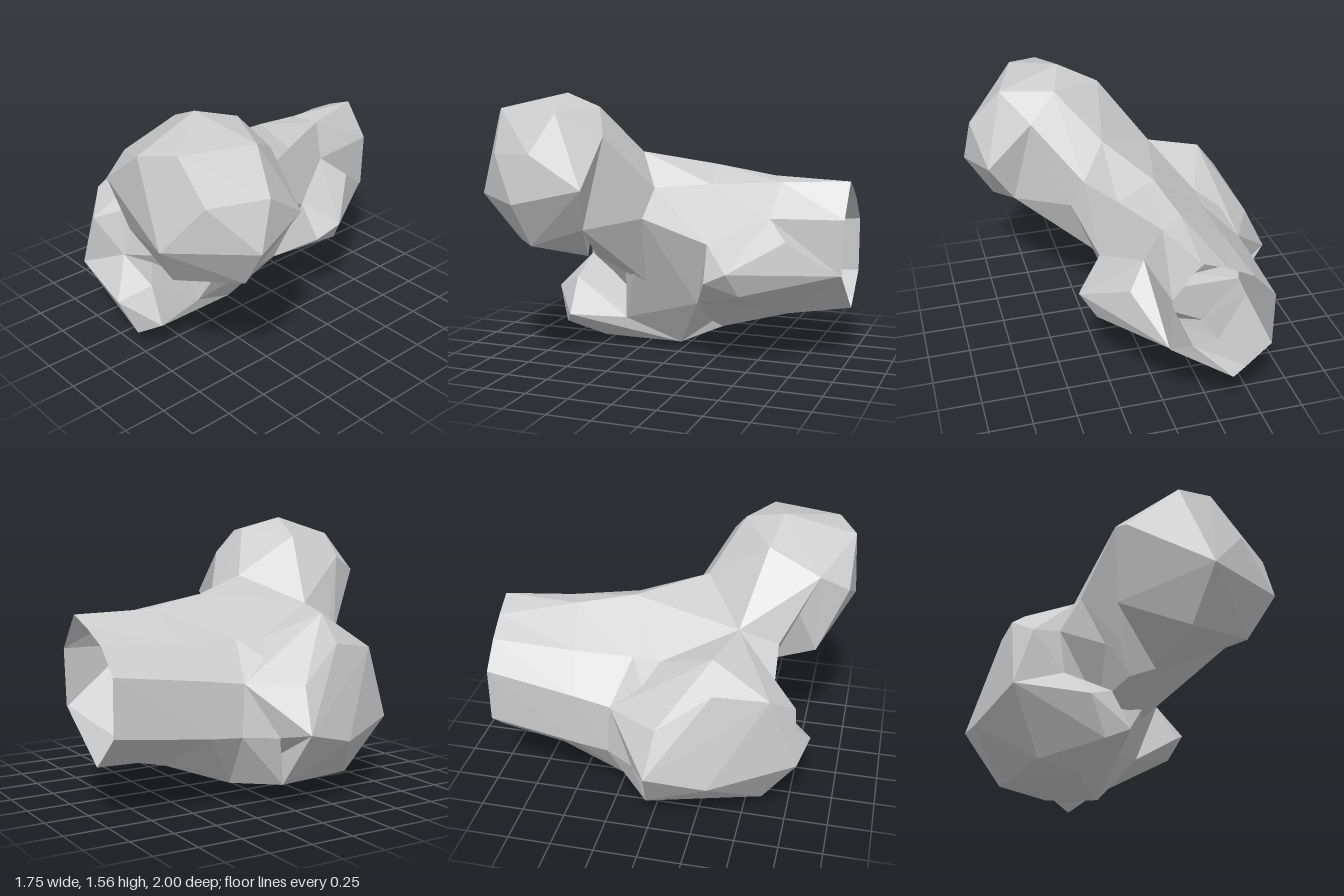
import * as THREE from 'three';
import { ConvexGeometry } from 'three/addons/geometries/ConvexGeometry.js';

const material = new THREE.MeshStandardMaterial({ color: 0xcccccc, flatShading: true, side: THREE.DoubleSide });

function addPart(group, name, geometry) {
  const mesh = new THREE.Mesh(geometry, material);
  mesh.name = name;
  group.add(mesh);
}

// Faceted lump spanned by its corner points
const lump = (points) => new ConvexGeometry(points.map((p) => new THREE.Vector3(...p)));

// Open tube through cross-sections with equal point counts
function loft(rings) {
  const n = rings[0].length;
  const index = [];
  for (let r = 0; r < rings.length - 1; r++) {
    for (let i = 0; i < n; i++) {
      const a = r * n + i, b = r * n + (i + 1) % n;
      index.push(a, b, a + n, b, b + n, a + n);
    }
  }
  const geometry = new THREE.BufferGeometry();
  geometry.setAttribute('position', new THREE.Float32BufferAttribute(rings.flat(2), 3));
  geometry.setIndex(index);
  geometry.computeVertexNormals();
  return geometry;
}

export function createModel() {
  const bone = new THREE.Group();
  bone.name = 'thighBoneEnd';

  // Hollow shaft, open at the back; each ring runs top, right, bottom, left
  addPart(bone, 'shaft', loft([
    [[-0.26, 1.01, -0.99], [-0.11, 1.07, -1], [0.04, 0.87, -1], [0.04, 0.55, -0.99],
      [-0.33, 0.28, -0.98], [-0.4, 0.34, -0.98], [-0.54, 0.47, -0.98], [-0.54, 0.79, -0.98], [-0.41, 0.93, -0.98]],
    [[-0.15, 1.08, -0.55], [-0.02, 1.06, -0.62], [0.07, 0.86, -0.58], [0.12, 0.45, -0.47],
      [-0.22, 0.24, -0.62], [-0.38, 0.25, -0.6], [-0.6, 0.42, -0.44], [-0.59, 0.73, -0.45], [-0.4, 0.91, -0.5]],
    [[-0.09, 1.14, -0.22], [0.13, 1.05, -0.25], [0.24, 0.72, -0.26], [0.11, 0.34, -0.16],
      [-0.26, 0.11, -0.2], [-0.42, 0.11, -0.22], [-0.62, 0.41, -0.26], [-0.61, 0.7, -0.24], [-0.39, 0.91, -0.16]],
    [[0.11, 1.22, 0.17], [0.25, 1.03, 0.05], [0.32, 0.86, 0.1], [0.06, 0.38, 0.12],
      [-0.11, 0.03, 0.02], [-0.67, 0.13, -0.03], [-0.73, 0.41, -0.09], [-0.76, 0.69, 0.05], [-0.41, 0.91, 0]],
  ]));

  // Solid core where shaft, neck and knob meet
  addPart(bone, 'core', lump([
    [-0.24, 1.07, 0.41], [-0.41, 0.91, 0], [-0.09, 1.14, -0.22], [0.11, 1.22, 0.17],
    [0.25, 1.03, 0.05], [0.32, 0.86, 0.1], [-0.1, 0.45, 0.38],
    [0.06, 0.38, 0.12], [0.11, 0.34, -0.16], [-0.01, 0.18, 0.34], [-0.11, 0.03, 0.02],
  ]));
  addPart(bone, 'coreUnderside', lump([
    [-0.42, 0.11, -0.22], [-0.67, 0.13, -0.03], [-0.11, 0.03, 0.02], [-0.73, 0.41, -0.09],
    [-0.62, 0.41, -0.26], [0.11, 0.34, -0.16], [0.06, 0.38, 0.12],
  ]));

  // Rounded ball of the joint
  addPart(bone, 'head', lump([
    [0.28, 1.56, 0.57], [0.52, 1.48, 0.87], [0.34, 1.45, 0.98], [0.06, 1.23, 0.98],
    [0.52, 0.99, 1], [0.87, 0.99, 0.63], [0.83, 1.26, 0.54], [0.65, 1.47, 0.47],
    [0.77, 1.07, 0.27], [0.51, 1.34, 0.25], [0.68, 1.24, 0.83], [0.05, 1.45, 0.52],
    [0.35, 1.49, 0.34], [0, 1.32, 0.82], [0.4, 0.71, 0.83], [0.71, 0.74, 0.6],
    [0.01, 0.85, 0.82], [0.23, 0.6, 0.48], [0.62, 0.83, 0.33],
  ]));

  // Neck between head and shaft
  addPart(bone, 'neck', lump([
    [0.11, 1.22, 0.17], [0.25, 1.03, 0.05], [0.32, 0.86, 0.1], [0.22, 0.59, 0.29],
    [0.06, 0.4, 0.13], [-0.1, 0.46, 0.38], [-0.24, 1.07, 0.41], [0, 1.32, 0.82],
    [0.05, 1.45, 0.52], [0.35, 1.49, 0.34], [0.51, 1.34, 0.25], [0.62, 0.83, 0.33],
    [0.07, 0.57, 0.5], [0.02, 0.76, 0.58], [-0.19, 0.98, 0.63],
  ]));

  // Hollow between neck and outer knob
  addPart(bone, 'hollow', lump([
    [-0.24, 1.07, 0.41], [-0.3, 0.78, 0.63], [-0.19, 0.98, 0.63], [-0.1, 0.45, 0.38],
    [0.03, 0.73, 0.52],
  ]));

  // Large outer knob: upper crest and lower hook
  addPart(bone, 'outerKnobCrest', lump([
    [-0.88, 0.44, 0.01], [-0.78, 0.35, 0.34], [-0.52, 0.4, 0.8], [-0.43, 0.72, 0.77],
    [-0.56, 0.83, 0.64], [-0.65, 0.88, 0.34], [-0.53, 1.04, 0.32], [-0.41, 0.91, 0],
    [-0.76, 0.69, 0.05], [-0.73, 0.41, -0.09], [-0.24, 1.07, 0.41], [-0.3, 0.78, 0.63],
    [-0.27, 0.51, 0.68], [-0.1, 0.45, 0.38], [-0.11, 0.03, 0.02], [-0.61, 0.7, -0.24],
  ]));
  addPart(bone, 'outerKnobHook', lump([
    [-0.88, 0.44, 0.01], [-0.78, 0.35, 0.34], [-0.67, 0.13, -0.03], [-0.4, 0.06, 0.6],
    [-0.2, 0, 0.56], [-0.11, 0.03, 0.02], [-0.01, 0.18, 0.34], [-0.52, 0.4, 0.8],
    [-0.12, 0.32, 0.84], [-0.27, 0.51, 0.68], [0.08, 0.19, 0.68], [-0.02, 0.41, 0.67],
    [-0.05, 0.11, 0.76],
  ]));

  // Small knob on the inner side of the shaft
  addPart(bone, 'innerKnob', lump([
    [0.4, 0.59, -0.42], [0.18, 0.75, -0.7], [0.07, 0.86, -0.58], [0.31, 0.45, -0.47],
    [0.36, 0.52, -0.28], [0.24, 0.72, -0.26], [0.11, 0.34, -0.16], [-0.22, 0.24, -0.62],
    [0.04, 0.55, -0.98], [0.02, 0.8, -0.4],
  ]));

  return bone;
}
